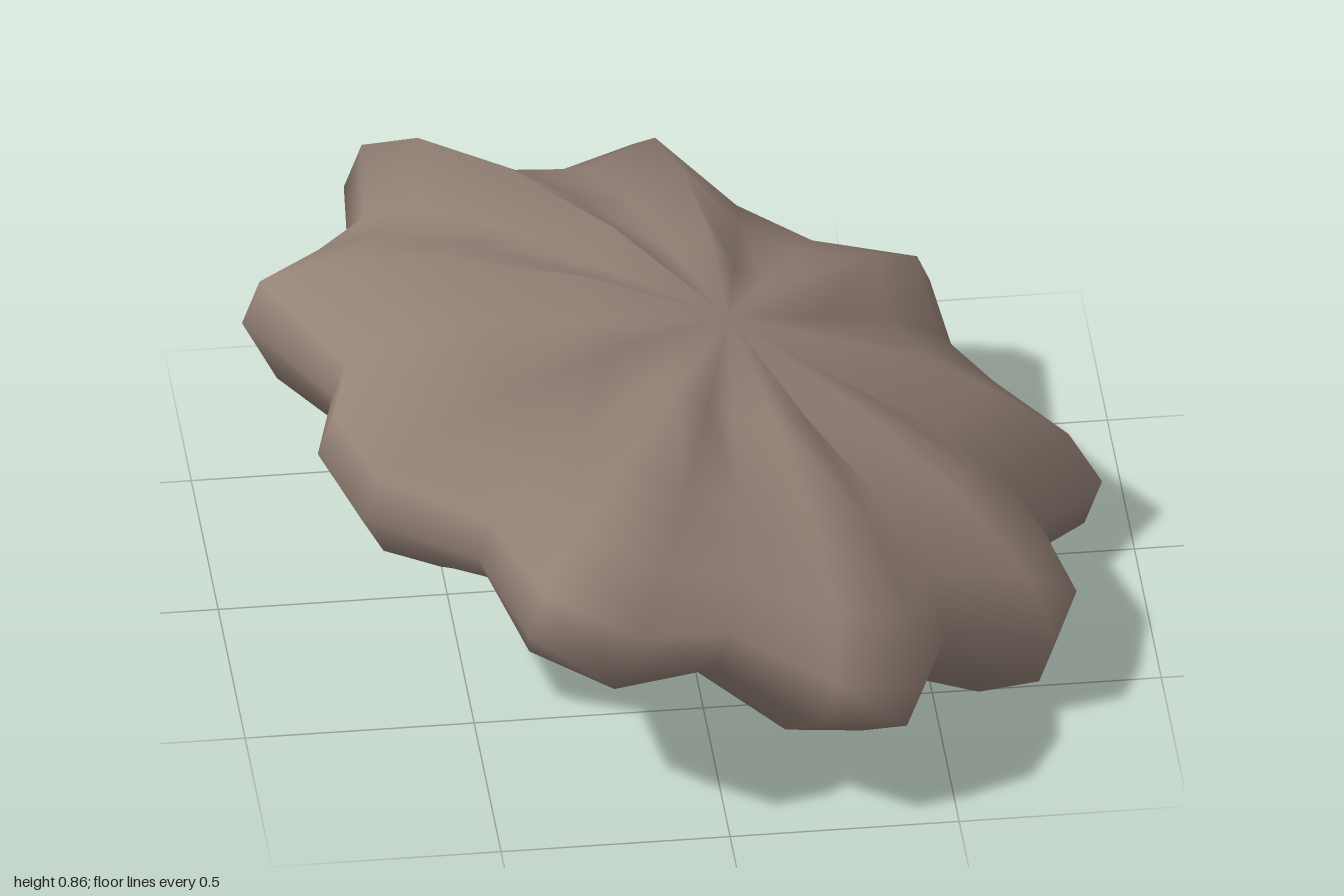
import * as THREE from 'three';
import { mergeVertices } from 'three/addons/utils/BufferGeometryUtils.js';

// Squashed sphere whose radius swells into nine lobes around its axis
function lobedBody(lobes, swell, rx, ry, rz) {
  const geo = new THREE.SphereGeometry(1, 26, 9, Math.PI / 2);
  geo.deleteAttribute('uv');
  geo.deleteAttribute('normal');
  geo.scale(rx, ry, rz);
  const pos = geo.attributes.position;
  for (let i = 0; i < pos.count; i++) {
    const x = pos.getX(i), y = pos.getY(i), z = pos.getZ(i);
    const pole = Math.abs(y) > 0.999 * ry;
    const r = pole ? 1.08 : 1 + swell * Math.cos(lobes * Math.atan2(x, -z));
    pos.setXYZ(i, pole ? 0 : x * r, y * r, pole ? 0 : z * r);
  }
  // Tilt the disc down towards its left and flatten the side that rests on the ground
  geo.rotateZ(-20 * Math.PI / 180);
  geo.translate(0, 0.41, 0.045);
  for (let i = 0; i < pos.count; i++) pos.setY(i, Math.max(0, pos.getY(i)));
  const smooth = mergeVertices(geo, 1e-4);
  smooth.computeVertexNormals();
  return smooth;
}

export function createModel() {
  const group = new THREE.Group();
  group.name = 'lobedStone';
  const stone = new THREE.MeshStandardMaterial({ color: 0x958277 });
  stone.name = 'warm stone brown';
  const body = new THREE.Mesh(lobedBody(9, 0.11, 0.91, 0.295, 0.955), stone);
  body.name = 'body';
  group.add(body);
  return group;
}
